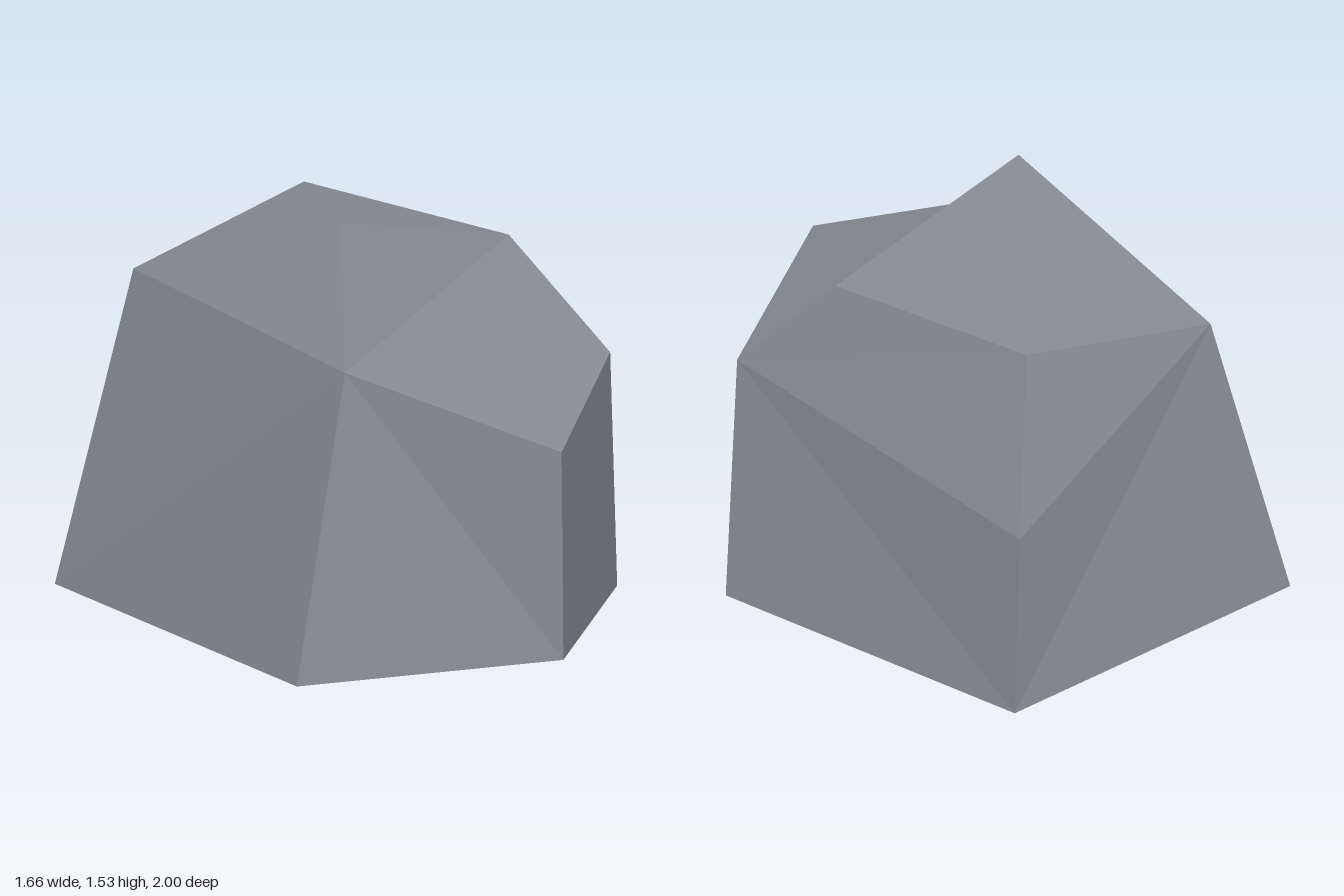
import * as THREE from 'three';

// Cross-sections, each running front, +x side, back, -x side
const base = [[0, 0.1, 0.995], [0.828, 0.045, 0.205], [0.39, 0.1, -1], [-0.83, 0.1, -0.83], [-0.735, 0.003, 0.437]];
const shoulder = [[0, 0.845, 0.985], [0.715, 0.93, 0.315], [0.345, 0.79, -0.96], [-0.58, 1.22, -0.71], [-0.54, 1.103, 0.455]];
const crown = [[-0.315, 1.53, 0.133], [0.49, 1.327, 0.03], [0.193, 1.39, -0.755]];

// Flat-faced shell from triangles, each a list of three corners
function facets(name, triangles, material) {
  const geometry = new THREE.BufferGeometry();
  geometry.setAttribute('position', new THREE.Float32BufferAttribute(triangles.flat(2), 3));
  geometry.computeVertexNormals();
  const mesh = new THREE.Mesh(geometry, material);
  mesh.name = name;
  return mesh;
}

export function createModel() {
  const group = new THREE.Group();
  group.name = 'rock';
  const stone = new THREE.MeshStandardMaterial({ color: 0x878c95 });
  stone.name = 'stone grey';
  stone.flatShading = true;

  // Sides: one split quad between each pair of ring corners
  const sides = [];
  const splitFromBase = [false, false, false, true, false];
  for (let i = 0; i < 5; i++) {
    const j = (i + 1) % 5;
    const [a, b, c, d] = [base[i], base[j], shoulder[j], shoulder[i]];
    // The third and fourth sides fold from lower left to upper right
    if (i === 2 || splitFromBase[i]) sides.push([a, b, c], [a, c, d]);
    else sides.push([a, b, d], [b, c, d]);
  }
  // The last side folds the other way
  sides.splice(8, 2, [base[4], base[0], shoulder[4]], [base[0], shoulder[0], shoulder[4]]);
  group.add(facets('rockSides', sides, stone));

  // Front ledge, sloping facets and peak
  const [s0, s1, s2, s3, s4] = shoulder;
  const [t0, t1, t2] = crown;
  group.add(facets('rockLedge', [[s0, s1, s4]], stone));
  group.add(facets('rockCrown', [
    [s4, s1, t1], [s4, t1, t0],
    [s1, s2, t2], [s1, t2, t1],
    [s2, s3, t2], [s3, s4, t0],
    [t0, t1, t2], [t0, t2, s3],
  ], stone));

  // Underside
  const [b0, b1, b2, b3, b4] = base;
  group.add(facets('rockUnderside', [[b0, b4, b1], [b1, b4, b3], [b1, b3, b2]], stone));
  return group;
}
